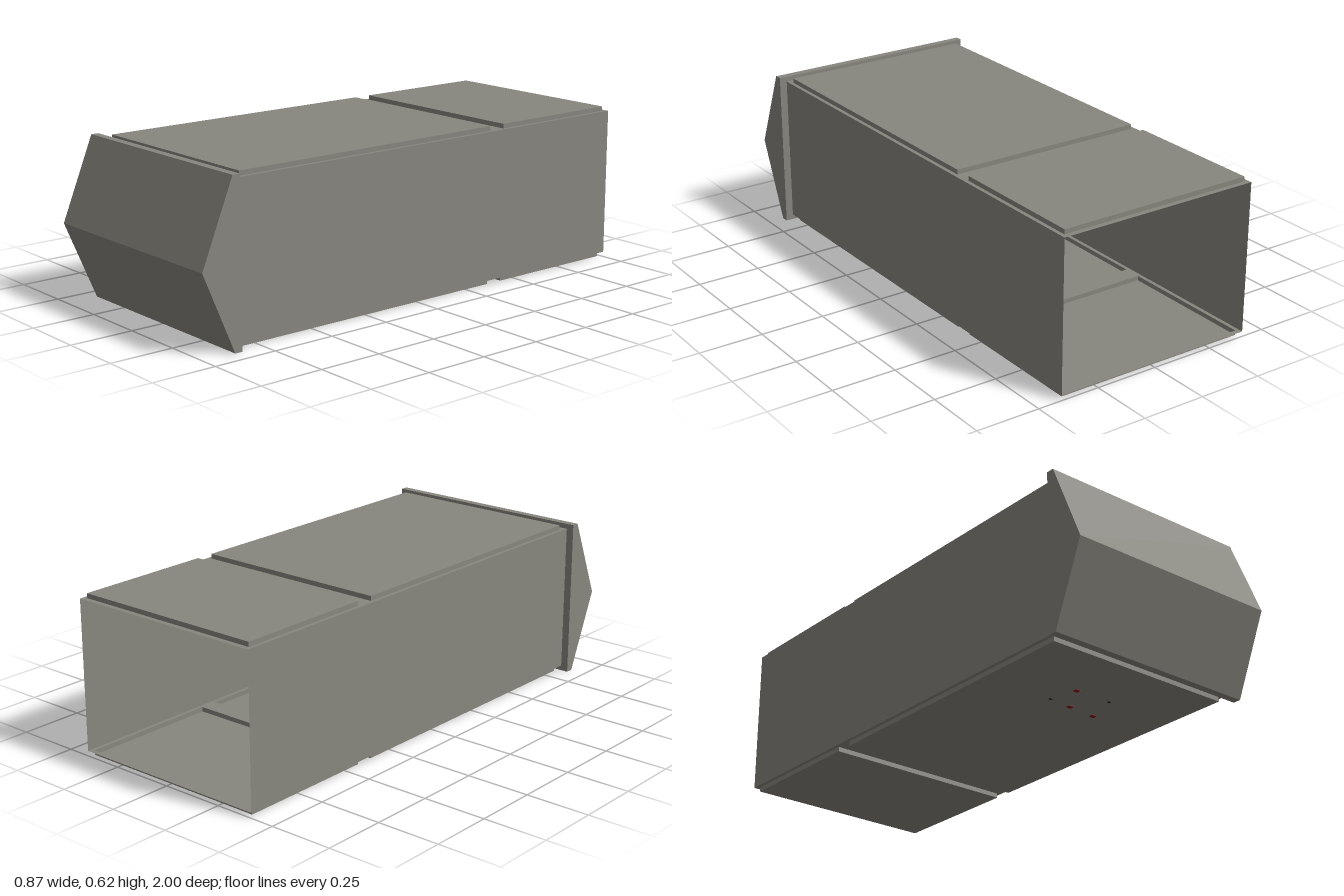
import * as THREE from 'three';

const steel = new THREE.MeshStandardMaterial({ color: 0x87867e, side: THREE.DoubleSide });
steel.name = 'grey steel';
const red = new THREE.MeshStandardMaterial({ color: 0x8a1820 });
red.name = 'red';
const dark = new THREE.MeshStandardMaterial({ color: 0x2c2b29 });
dark.name = 'dark grey';

const HALF_W = 0.405, BACK = -1, FRONT = 0.84;
const LOW = 0.02, HIGH = 0.6, EMBOSS = 0.018;
const PANEL_HALF = 0.39;
const PANELS = [[-0.98, -0.43], [-0.36, 0.81]]; // z ranges

function add(parent, name, geometry, material = steel) {
  const mesh = new THREE.Mesh(geometry, material);
  mesh.name = name;
  parent.add(mesh);
  return mesh;
}

function rectangle(path, x, z0, z1) {
  path.moveTo(-x, z0);
  path.lineTo(x, z0);
  path.lineTo(x, z1);
  path.lineTo(-x, z1);
  path.closePath();
  return path;
}

// Thin sheet at height y with two panels pressed outwards (dir is +1 up, -1 down)
function embossedSheet(name, y, dir) {
  const sheet = new THREE.Group();
  sheet.name = name;
  const outline = rectangle(new THREE.Shape(), HALF_W, BACK, FRONT);
  for (const [z0, z1] of PANELS) outline.holes.push(rectangle(new THREE.Path(), PANEL_HALF, z0, z1));
  add(sheet, 'sheetBorder', new THREE.ShapeGeometry(outline).rotateX(Math.PI / 2)).position.y = y;

  for (const [z0, z1] of PANELS) {
    const length = z1 - z0, mid = (z0 + z1) / 2;
    add(sheet, 'raisedPanel', new THREE.PlaneGeometry(2 * PANEL_HALF, length).rotateX(-Math.PI / 2))
      .position.set(0, y + dir * EMBOSS, mid);
    for (const s of [-1, 1]) {
      const edgeY = y + dir * EMBOSS / 2;
      add(sheet, 'panelEnd', new THREE.PlaneGeometry(2 * PANEL_HALF, EMBOSS))
        .position.set(0, edgeY, mid + s * length / 2);
      add(sheet, 'panelSide', new THREE.PlaneGeometry(length, EMBOSS).rotateY(Math.PI / 2))
        .position.set(s * PANEL_HALF, edgeY, mid);
    }
  }
  return sheet;
}

export function createModel() {
  const model = new THREE.Group();
  model.name = 'hollowCase';

  // Open-backed sleeve
  model.add(embossedSheet('roof', HIGH, 1), embossedSheet('floor', LOW, -1));
  for (const s of [-1, 1]) {
    add(model, s > 0 ? 'leftWall' : 'rightWall',
      new THREE.PlaneGeometry(FRONT - BACK, HIGH - LOW).rotateY(s * Math.PI / 2))
      .position.set(s * HALF_W, (LOW + HIGH) / 2, (FRONT + BACK) / 2);
  }

  // Wedge-shaped front cap, profile drawn in z and y
  const profile = new THREE.Shape([[0.84, 0], [0.87, 0], [1, 0.305], [0.87, 0.62], [0.84, 0.62]]
    .map(([z, y]) => new THREE.Vector2(z, y)));
  const cap = new THREE.ExtrudeGeometry(profile, { depth: 0.87, bevelEnabled: false });
  add(model, 'frontCap', cap.rotateY(-Math.PI / 2)).position.x = 0.435;

  // Small feet just showing through the floor
  const feet = [[0.13, 0.43, red], [0.01, 0.44, red], [-0.065, 0.56, red], [0.09, 0.56, dark], [-0.09, 0.45, dark]];
  for (const [x, z, material] of feet) {
    const size = material === red ? 0.02 : 0.012;
    add(model, 'foot', new THREE.BoxGeometry(size, 0.008, size), material).position.set(x, 0.004, z);
  }
  return model;
}
